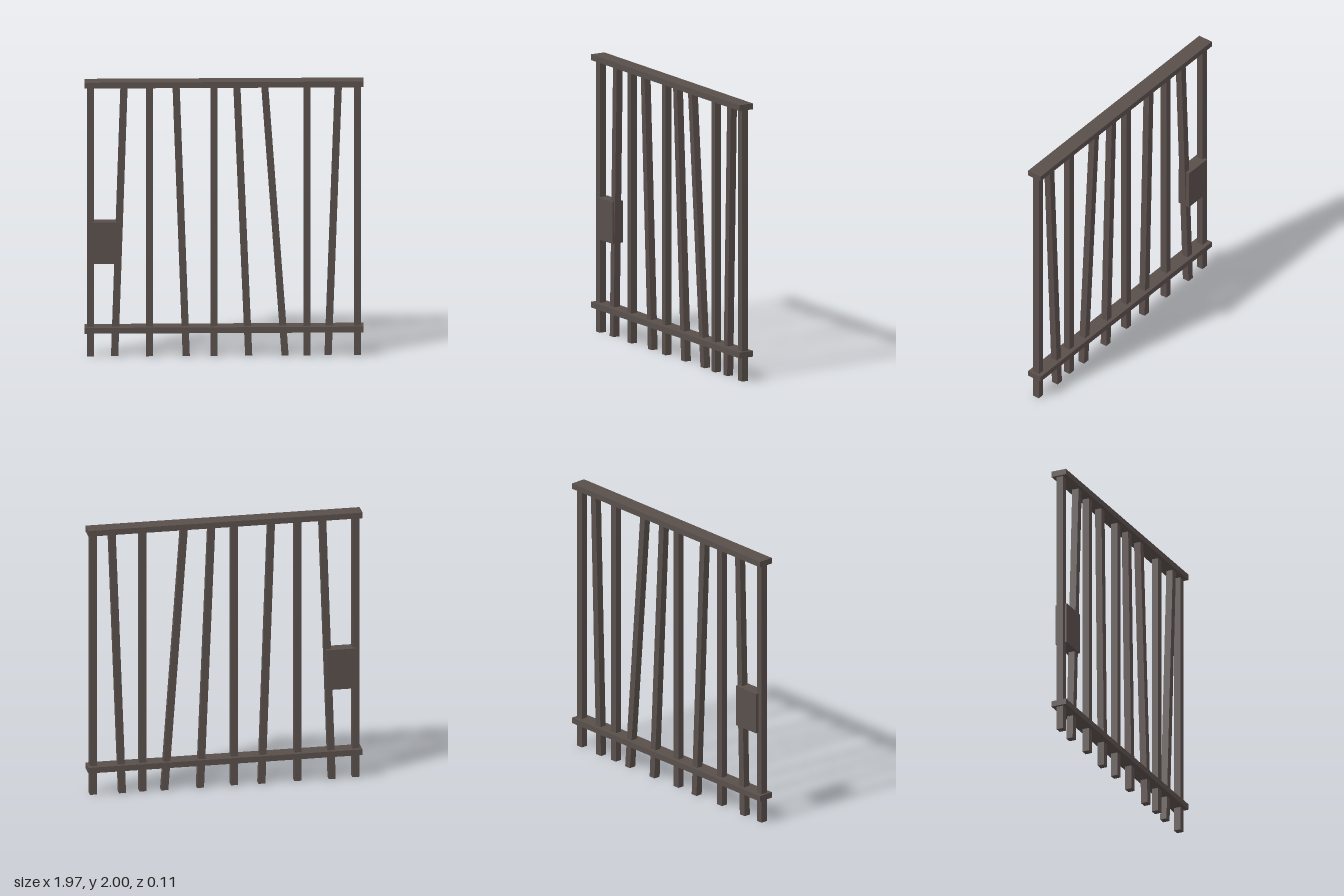
import * as THREE from 'three';

export function createModel() {
  const model = new THREE.Group();
  model.name = 'barredGate';
  const iron = new THREE.MeshStandardMaterial({ color: 0x594f4b });
  iron.name = 'dark iron';

  function box(name, w, h, d, x, y, z) {
    const mesh = new THREE.Mesh(new THREE.BoxGeometry(w, h, d), iron);
    mesh.name = name;
    mesh.position.set(x, y, z);
    model.add(mesh);
    return mesh;
  }

  // Cross rails
  box('topRail', 1.965, 0.042, 0.112, 0, 1.979, 0);
  box('lowerRail', 1.965, 0.042, 0.112, 0, 0.195, 0);

  // Square bars: x at the foot, x at the top; bent bars also lean slightly forward
  const bars = [
    [-0.94, -0.94], [-0.77, -0.704], [-0.525, -0.525], [-0.266, -0.338], [-0.07, -0.07],
    [0.174, 0.09], [0.43, 0.286], [0.585, 0.585], [0.733, 0.805], [0.94, 0.94],
  ];
  const height = 1.97;
  for (const [foot, top] of bars) {
    const bent = foot !== top;
    const bar = box(bent ? 'bentBar' : 'straightBar', 0.05, height, 0.05, 0, height / 2, 0);
    const p = bar.geometry.attributes.position;
    for (let i = 0; i < p.count; i++) {
      const t = p.getY(i) / height + 0.5;
      p.setX(i, p.getX(i) + foot + (top - foot) * t);
      if (bent) p.setZ(i, p.getZ(i) + 0.014 * t - 0.007);
    }
    bar.geometry.computeVertexNormals();
  }

  // Lock case between the first two bars
  box('lockCase', 0.21, 0.3, 0.09, -0.83, 0.828, -0.005);

  return model;
}
